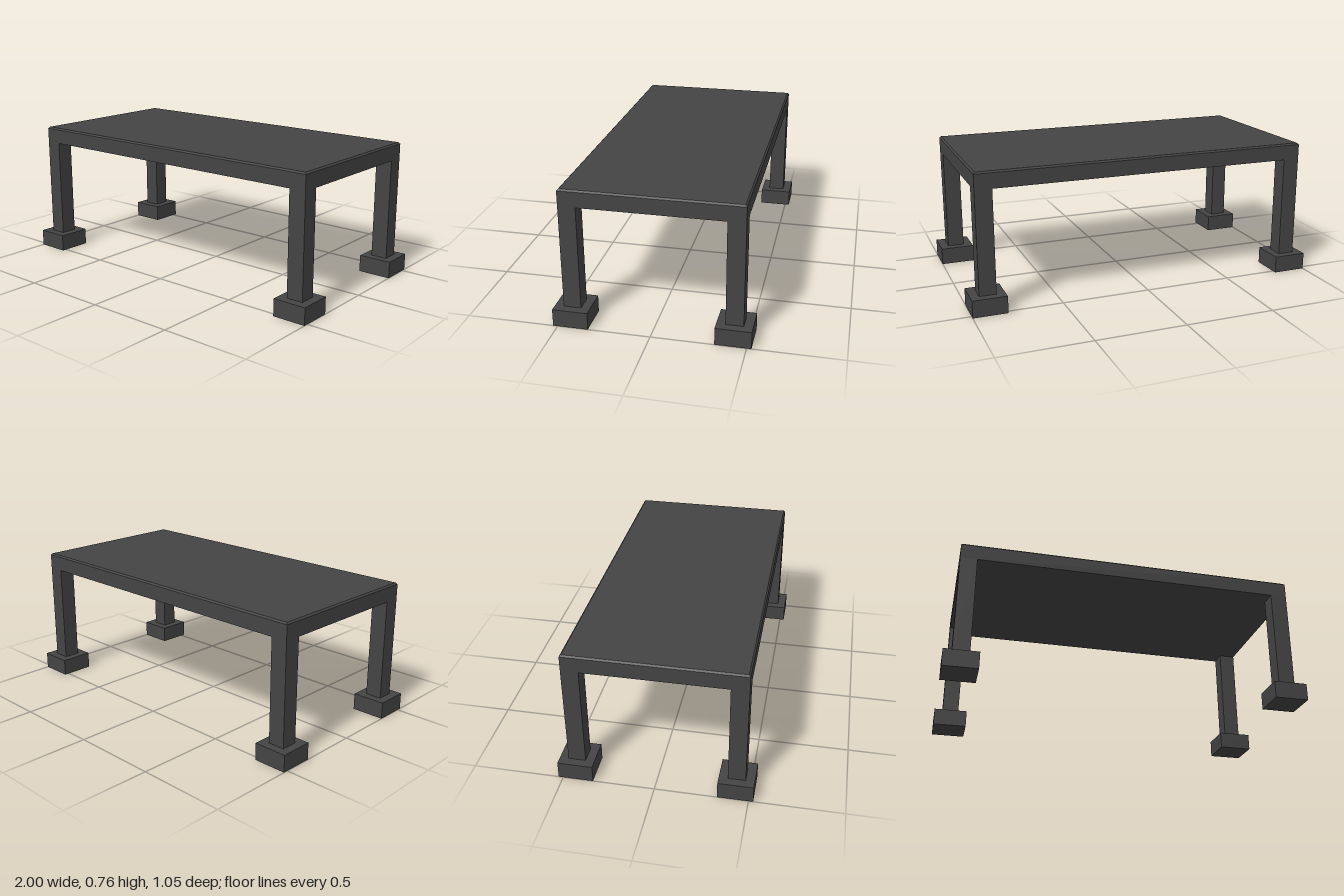
import * as THREE from 'three';

const material = new THREE.MeshStandardMaterial({ color: 0x444444, flatShading: true });

function block(name, w, h, d, x, y, z) {
  const mesh = new THREE.Mesh(new THREE.BoxGeometry(w, h, d), material);
  mesh.name = name;
  mesh.position.set(x, y + h / 2, z);
  return mesh;
}

// Solid slab whose upper rim is chamfered
function chamferedSlab(w, d, bottom, top, chamfer) {
  const box = new THREE.BoxGeometry(w, 2, d, 1, 2, 1);
  const p = box.attributes.position;
  for (let i = 0; i < p.count; i++) {
    const level = Math.round(p.getY(i)); // -1 bottom, 0 chamfer start, 1 top
    const inset = level === 1 ? chamfer : 0;
    p.setXYZ(
      i,
      p.getX(i) - Math.sign(p.getX(i)) * inset,
      [bottom, top - chamfer, top][level + 1],
      p.getZ(i) - Math.sign(p.getZ(i)) * inset
    );
  }
  const geometry = box.toNonIndexed();
  geometry.computeVertexNormals();
  return geometry;
}

export function createModel() {
  const model = new THREE.Group();
  model.name = 'table';

  const tableTop = new THREE.Mesh(chamferedSlab(1.904, 0.954, 0.67, 0.763, 0.009), material);
  tableTop.name = 'tableTop';
  model.add(tableTop);

  // Four square legs, flush with the slab's corners, each on a wider foot block
  for (const [sx, side] of [[1, 'Left'], [-1, 'Right']]) {
    for (const [sz, end] of [[1, 'front'], [-1, 'back']]) {
      const x = sx * 0.905;
      const z = sz * 0.43;
      model.add(block(`${end}${side}Leg`, 0.094, 0.575, 0.094, x, 0.096, z));
      model.add(block(`${end}${side}Foot`, 0.19, 0.096, 0.19, x, 0, z));
    }
  }
  return model;
}
